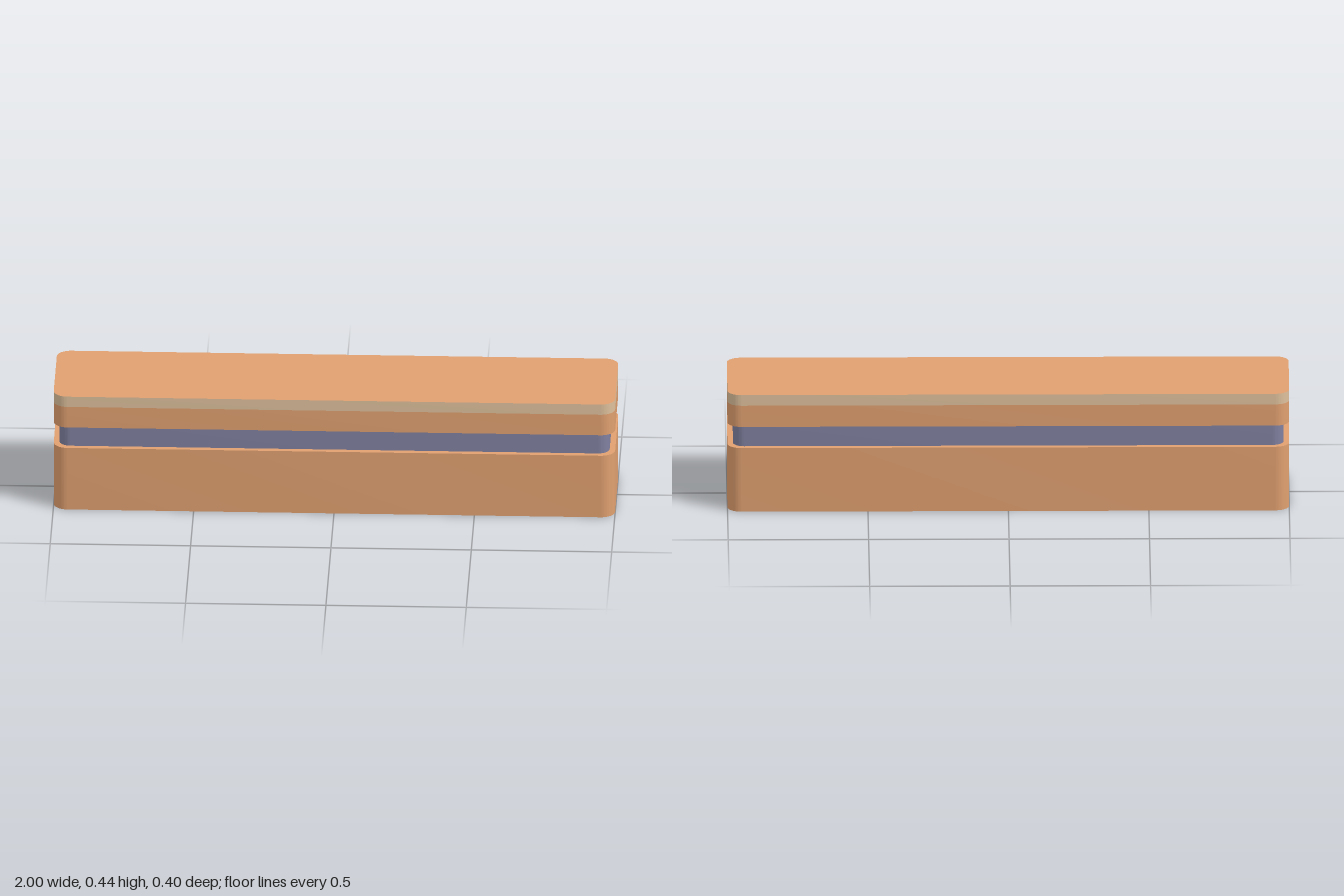
import * as THREE from 'three';
import { toCreasedNormals } from 'three/addons/utils/BufferGeometryUtils.js';

const orange = new THREE.MeshStandardMaterial({ color: 0xe0a070 });
const tan = new THREE.MeshStandardMaterial({ color: 0xdec09c });
const slate = new THREE.MeshStandardMaterial({ color: 0x8080a0 });

// Rectangle outline with rounded corners, centred on the origin
function roundedRect(width, depth, r) {
  const x = width / 2 - r, y = depth / 2 - r;
  const shape = new THREE.Shape();
  shape.absarc(x, y, r, 0, Math.PI / 2);
  shape.absarc(-x, y, r, Math.PI / 2, Math.PI);
  shape.absarc(-x, -y, r, Math.PI, Math.PI * 1.5);
  shape.absarc(x, -y, r, Math.PI * 1.5, Math.PI * 2);
  shape.closePath();
  return shape;
}

// Upright slab between two heights; inset shrinks its outline
function slab(name, y0, y1, inset, capMaterial, sideMaterial) {
  const shape = roundedRect(2 - 2 * inset, 0.4 - 2 * inset, 0.05 - inset / 2);
  const geometry = new THREE.ExtrudeGeometry(shape, {
    depth: y1 - y0, bevelEnabled: false, curveSegments: 8,
  });
  geometry.rotateX(-Math.PI / 2).translate(0, y0, 0);
  const mesh = new THREE.Mesh(toCreasedNormals(geometry, 0.6), [capMaterial, sideMaterial]);
  mesh.name = name;
  return mesh;
}

export function createModel() {
  const model = new THREE.Group();
  model.name = 'layeredBlock';
  model.add(
    slab('base', 0, 0.24, 0, orange, orange),
    slab('recessedBand', 0.24, 0.32, 0.02, slate, slate),
    slab('upperBlock', 0.32, 0.4, 0, orange, orange),
    // Pale rim with an orange top face
    slab('topRim', 0.4, 0.44, 0, orange, tan),
  );
  return model;
}
